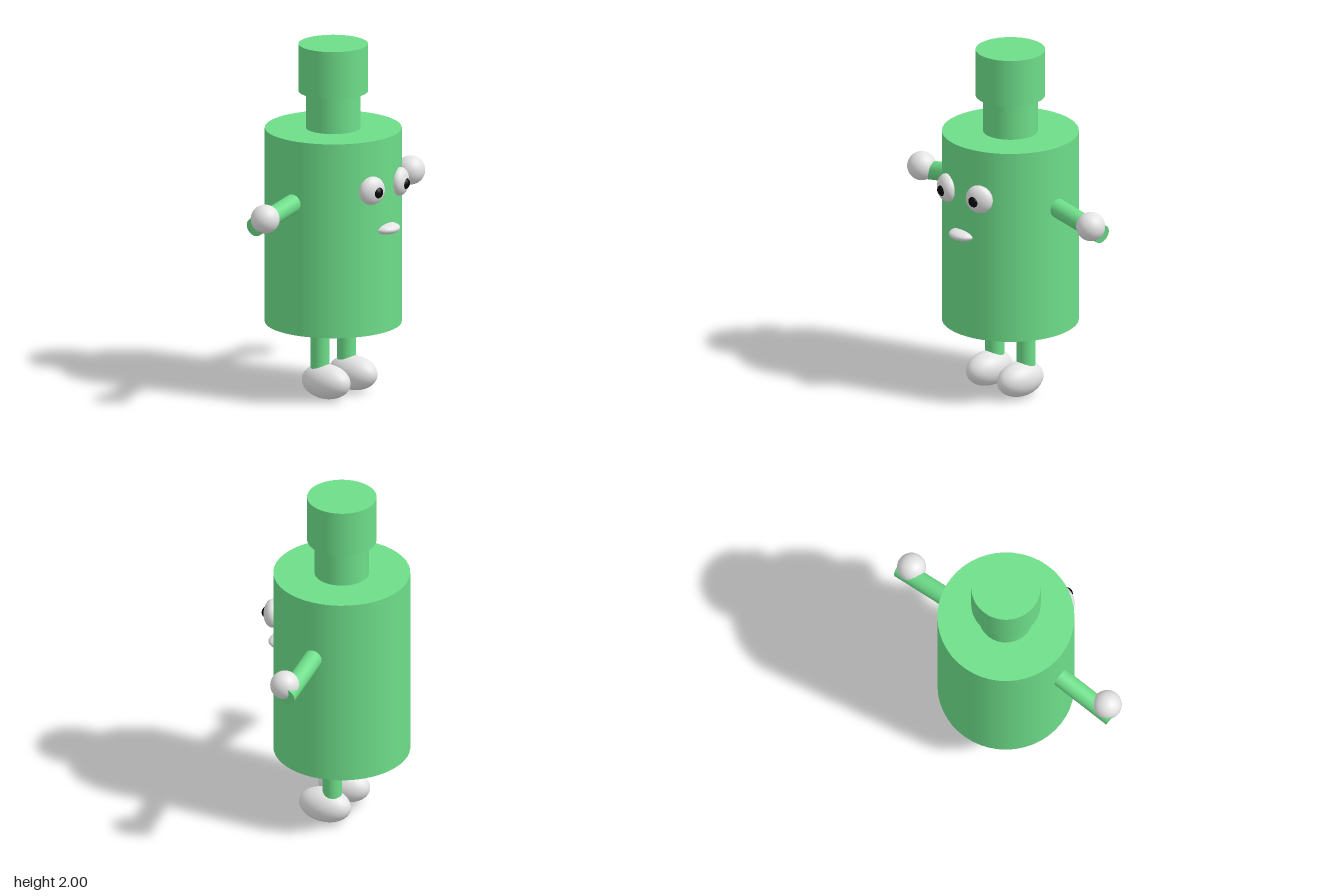
import * as THREE from 'three';

export function createModel() {
  const model = new THREE.Group();
  const mat = (name, color) => {
    const m = new THREE.MeshStandardMaterial({ color });
    m.name = name;
    return m;
  };
  const green = mat('green', 0x6ddd89);
  const white = mat('white', 0xe4e4e4);
  const black = mat('black', 0x050505);
  const axisZ = -0.032; // the body and limbs sit slightly back

  const add = (name, geometry, material, x, y, z) => {
    const mesh = new THREE.Mesh(geometry, material);
    mesh.name = name;
    mesh.position.set(x, y, z);
    model.add(mesh);
    return mesh;
  };
  // Upright cylinder between two heights
  const column = (name, r, y0, y1, x = 0) =>
    add(name, new THREE.CylinderGeometry(r, r, y1 - y0, 48), green, x, (y0 + y1) / 2, axisZ);
  // Ellipsoid with three radii
  const ball = (name, material, rx, ry, rz, x, y, z) => {
    const g = new THREE.SphereGeometry(1, 32, 24).scale(rx, ry, rz);
    return add(name, g, material, x, y, z);
  };

  // Bottle
  column('body', 0.38, 0.41, 1.52);
  column('neck', 0.152, 1.52, 1.73);
  column('cap', 0.193, 1.73, 2.0);

  // Mouth
  ball('mouth', white, 0.083, 0.032, 0.072, 0, 1.0, 0.335);

  for (const s of [1, -1]) {
    const side = s > 0 ? 'left' : 'right';

    // Arm slopes down to its open hand
    const from = new THREE.Vector3(s * 0.3, 1.175, axisZ);
    const to = new THREE.Vector3(s * 0.733, 1.1, axisZ);
    const dir = to.clone().sub(from);
    const mid = from.clone().add(to).multiplyScalar(0.5);
    const arm = add(side + 'Arm', new THREE.CylinderGeometry(0.053, 0.053, dir.length(), 32),
      green, mid.x, mid.y, mid.z);
    arm.quaternion.setFromUnitVectors(new THREE.Vector3(0, 1, 0), dir.normalize());
    ball(side + 'Hand', white, 0.081, 0.081, 0.081, s * 0.677, 1.14, 0);

    // Leg and foot
    column(side + 'Leg', 0.053, 0.17, 0.42, s * 0.125);
    ball(side + 'Foot', white, 0.096, 0.098, 0.153, s * 0.125, 0.098, 0.012);

    // Eye turned to follow the body, with its pupil
    const eye = ball(side + 'Eye', white, 0.08, 0.08, 0.05, s * 0.13, 1.24, 0.331);
    eye.rotation.y = s * 0.35;
    ball(side + 'Pupil', black, 0.034, 0.034, 0.03, s * 0.125, 1.235, 0.366);
  }
  return model;
}
